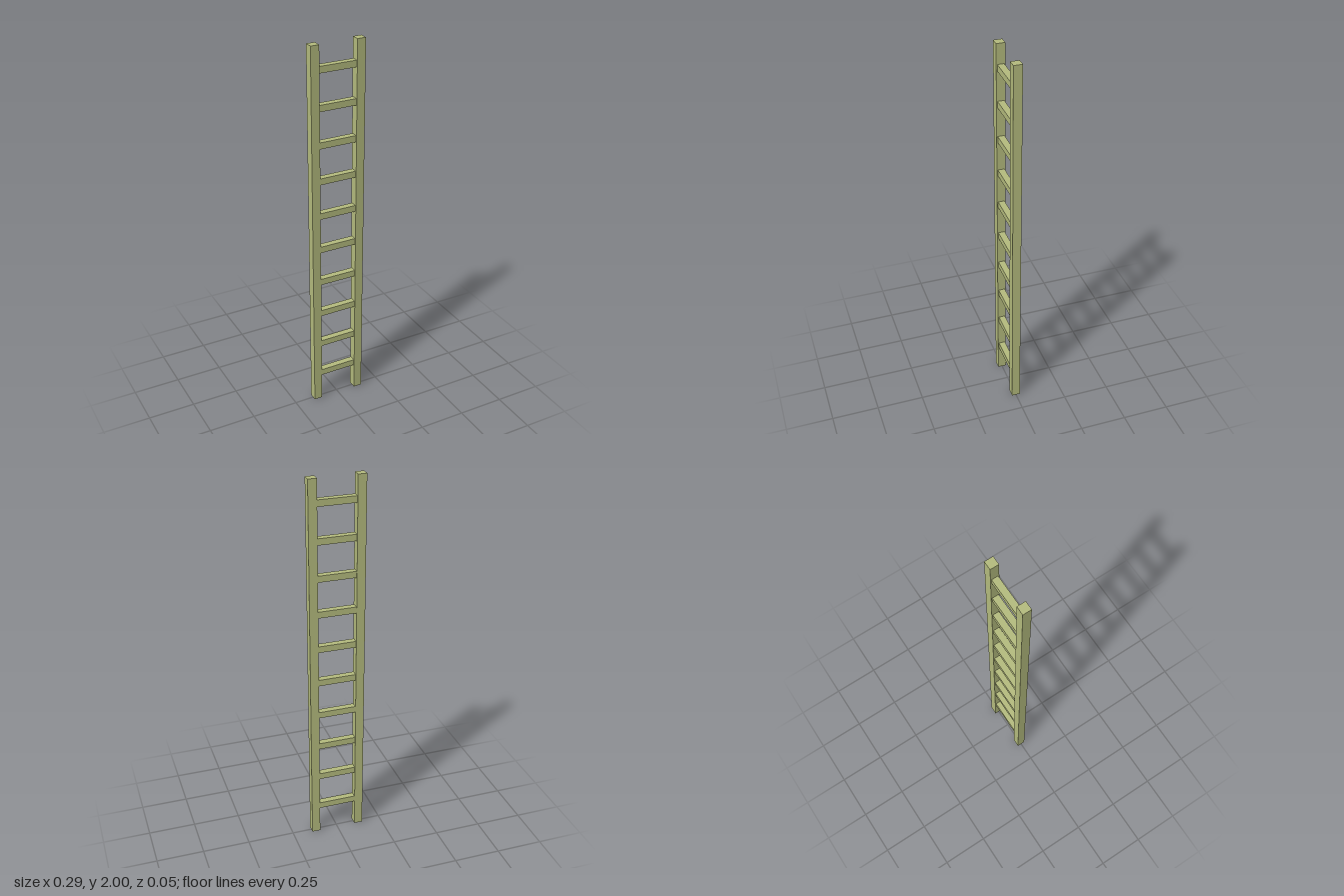
import * as THREE from 'three';

export function createModel() {
  const model = new THREE.Group();
  model.name = 'ladder';

  const wood = new THREE.MeshStandardMaterial({ color: 0xb5bc7e });
  wood.name = 'pale olive wood';

  function addBox(name, size, position) {
    const mesh = new THREE.Mesh(new THREE.BoxGeometry(...size), wood);
    mesh.name = name;
    mesh.position.set(...position);
    model.add(mesh);
  }

  // Upright side rails
  const railWidth = 0.045;
  const innerHalf = 0.1;
  for (const [side, name] of [[1, 'leftRail'], [-1, 'rightRail']]) {
    addBox(name, [railWidth, 2, railWidth], [side * (innerHalf + railWidth / 2), 1, 0]);
  }

  // Evenly spaced rungs, butted against the rails
  const rungCount = 10;
  const firstRung = 0.163;
  const lastRung = 1.878;
  for (let i = 0; i < rungCount; i++) {
    const y = firstRung + ((lastRung - firstRung) * i) / (rungCount - 1);
    addBox(`rung${i + 1}`, [innerHalf * 2, 0.034, 0.034], [0, y, 0]);
  }

  return model;
}
